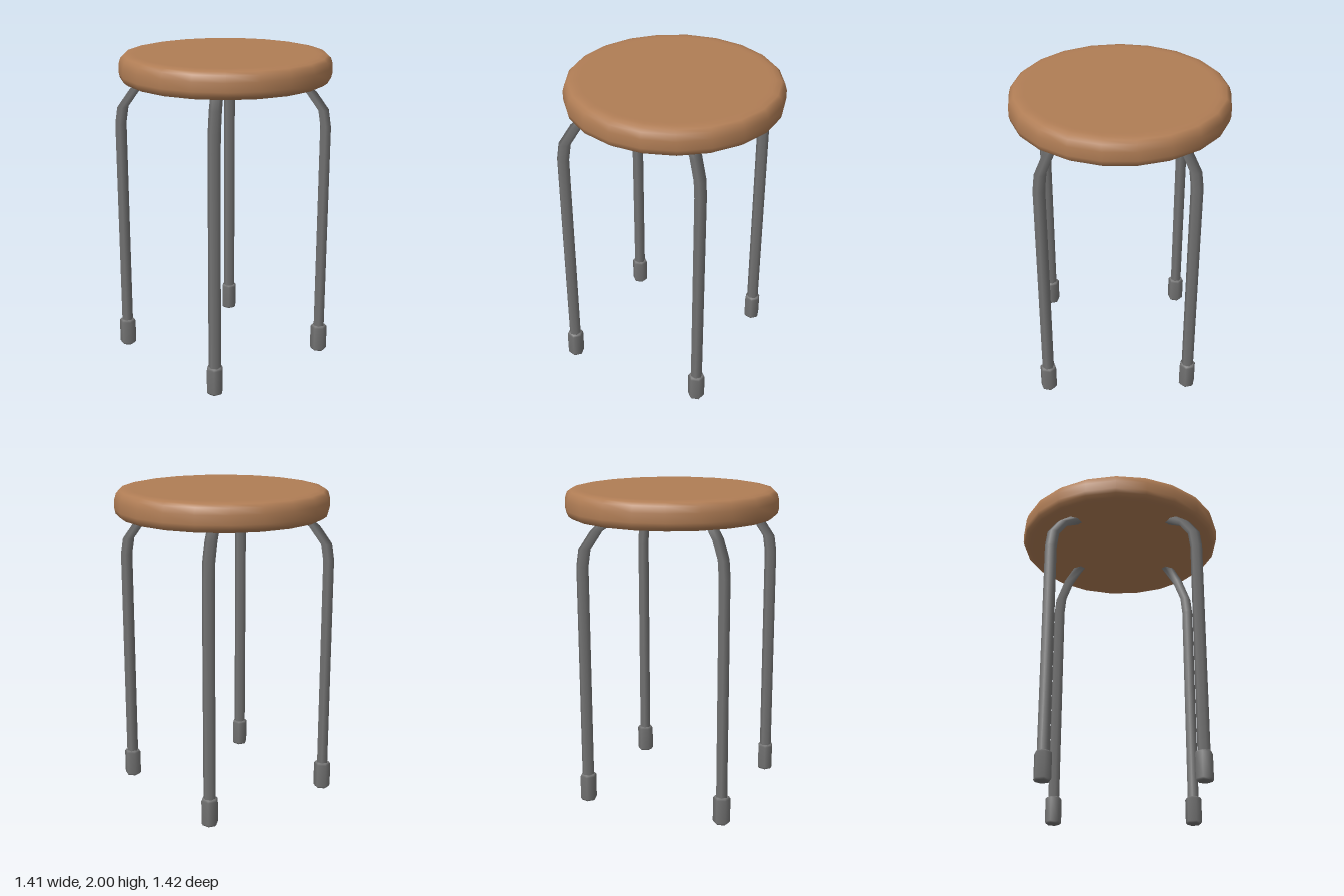
import * as THREE from 'three';

const wood = new THREE.MeshStandardMaterial({ name: 'brown wood', color: 0xb07d55 });
const metal = new THREE.MeshStandardMaterial({ name: 'grey metal', color: 0x737373 });

// Bent line whose rings fall exactly on the given points
class BentLine extends THREE.Curve {
  constructor(points) {
    super();
    this.points = points.map(([x, y]) => new THREE.Vector3(x, y, 0));
  }
  getPoint(t, target = new THREE.Vector3()) {
    const n = this.points.length - 1;
    const i = Math.min(Math.floor(t * n + 1e-6), n - 1);
    return target.lerpVectors(this.points[i], this.points[i + 1], t * n - i);
  }
  getPointAt(t, target) {
    return this.getPoint(t, target);
  }
}

// Turned solid, profile listed from bottom to top, first corner on +x
function turned(name, profile, sides, material) {
  const points = profile.map(([r, y]) => new THREE.Vector2(r, y));
  const mesh = new THREE.Mesh(new THREE.LatheGeometry(points, sides, Math.PI / 2), material);
  mesh.name = name;
  return mesh;
}

export function createModel() {
  const model = new THREE.Group();
  model.name = 'stool';

  // Round seat with softened edges, set slightly off centre
  const seat = turned('seat', [
    [0, 1.83], [0.6, 1.83], [0.635, 1.832], [0.66, 1.85], [0.667, 1.88],
    [0.667, 1.935], [0.655, 1.975], [0.635, 1.993], [0.6, 2], [0.57, 2], [0, 2],
  ], 21, wood);
  seat.position.set(0.0125, 0, -0.042);
  model.add(seat);

  // Four bent tube legs with end caps
  const path = new BentLine([[0.65, 0.1], [0.65, 1.55], [0.634, 1.655], [0.556, 1.765], [0.4, 1.872]]);
  const tube = new THREE.TubeGeometry(path, 4, 0.038, 6);
  const names = ['left', 'back', 'right', 'front'];
  names.forEach((side, i) => {
    const leg = new THREE.Group();
    leg.name = side + 'Leg';
    const pipe = new THREE.Mesh(tube, metal);
    pipe.name = side + 'LegTube';
    const foot = turned(side + 'Foot', [
      [0, 0], [0.035, 0], [0.046, 0.003], [0.054, 0.015], [0.054, 0.168], [0.046, 0.18], [0.03, 0.182],
    ], 6, metal);
    foot.position.x = 0.65;
    leg.add(pipe, foot);
    leg.rotation.y = i * Math.PI / 2;
    leg.position.set(-0.003, 0, 0.008);
    model.add(leg);
  });

  return model;
}
